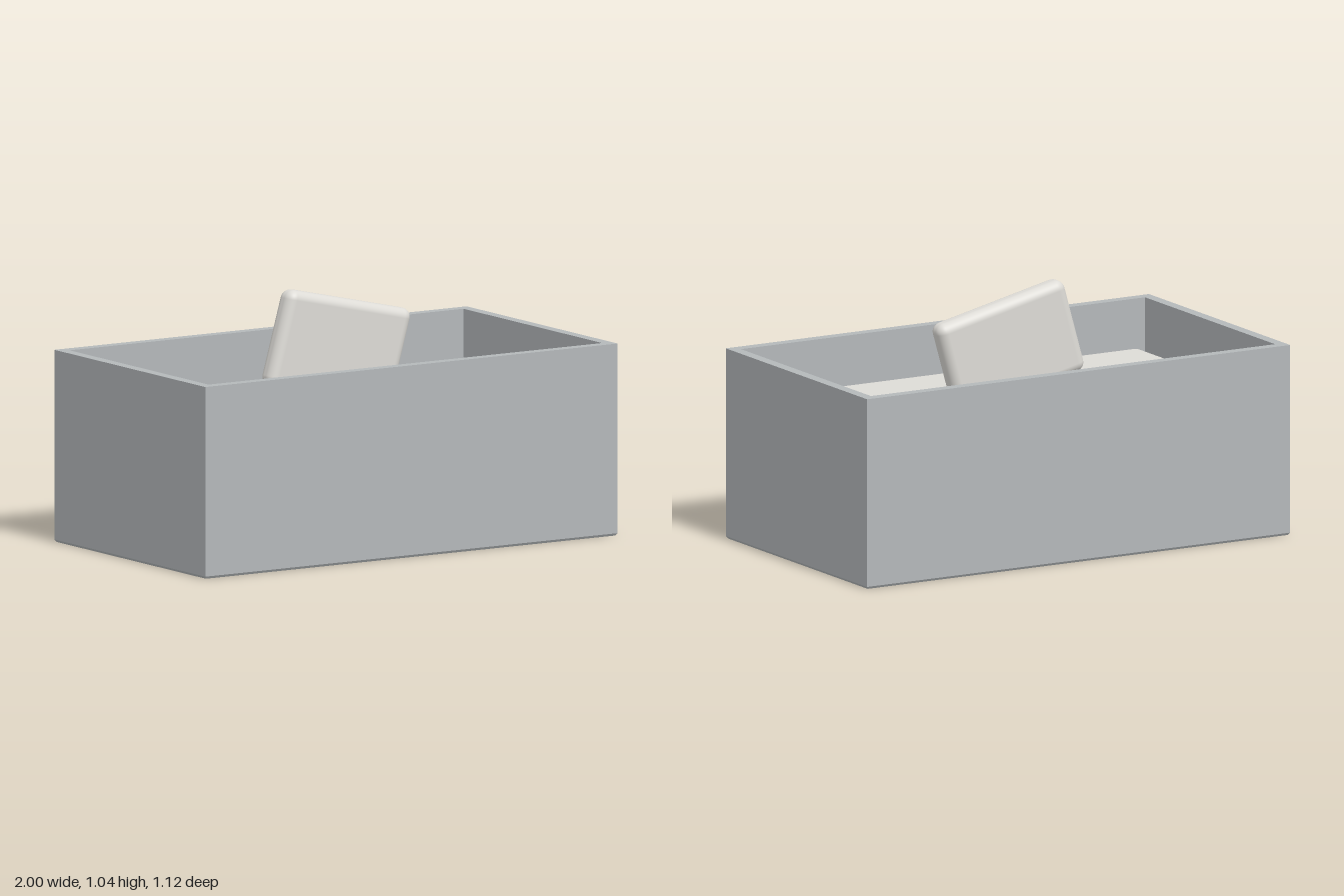
import * as THREE from 'three';
import { RoundedBoxGeometry } from 'three/addons/geometries/RoundedBoxGeometry.js';

const W = 2, D = 1.12, H = 0.79, WALL = 0.045, CHAMFER = 0.01;

export function createModel() {
  const group = new THREE.Group();
  const grey = new THREE.MeshStandardMaterial({ color: 0xb4b8ba });
  const pale = new THREE.MeshStandardMaterial({ color: 0xdddbd6 });
  const add = (name, geometry, material, y = 0) => {
    const mesh = new THREE.Mesh(geometry, material);
    mesh.name = name;
    mesh.position.y = y;
    group.add(mesh);
    return mesh;
  };
  const rectangle = (w, d, Type) => new Type([
    new THREE.Vector2(-w / 2, -d / 2), new THREE.Vector2(w / 2, -d / 2),
    new THREE.Vector2(w / 2, d / 2), new THREE.Vector2(-w / 2, d / 2),
  ]);

  // Four walls as one open frame
  const frame = rectangle(W, D, THREE.Shape);
  frame.holes.push(rectangle(W - 2 * WALL, D - 2 * WALL, THREE.Path));
  const walls = new THREE.ExtrudeGeometry(frame, { depth: H - CHAMFER, bevelEnabled: false });
  walls.rotateX(-Math.PI / 2);
  add('walls', walls, grey, CHAMFER);

  // Base with a narrow chamfer around its lower edge
  const base = new THREE.BoxGeometry(W, CHAMFER, D);
  const p = base.attributes.position;
  for (let i = 0; i < p.count; i++) {
    if (p.getY(i) > 0) continue;
    p.setX(i, p.getX(i) - Math.sign(p.getX(i)) * 0.007);
    p.setZ(i, p.getZ(i) - Math.sign(p.getZ(i)) * 0.007);
  }
  base.computeVertexNormals();
  add('base', base, grey, CHAMFER / 2);
  add('floor', new THREE.BoxGeometry(W - 2 * WALL, 0.04, D - 2 * WALL), grey, 0.03);

  // Rounded block filling the inside, leaving a gap to the walls
  add('innerBlock', new RoundedBoxGeometry(1.8, 0.555, 0.945, 4, 0.035), pale, 0.3225);

  // Tilted paddle, slightly skewed, sunk into the block
  const along = new THREE.Vector3(0.6, -0.137, 0);
  const up = new THREE.Vector3(0.11, 0.387, 0);
  const paddle = new RoundedBoxGeometry(along.length(), up.length(), 0.094, 5, 0.04);
  paddle.applyMatrix4(new THREE.Matrix4().makeBasis(
    along.normalize(), up.normalize(), new THREE.Vector3(0, 0, 1)));
  add('paddle', paddle, pale, 0.79);

  return group;
}
